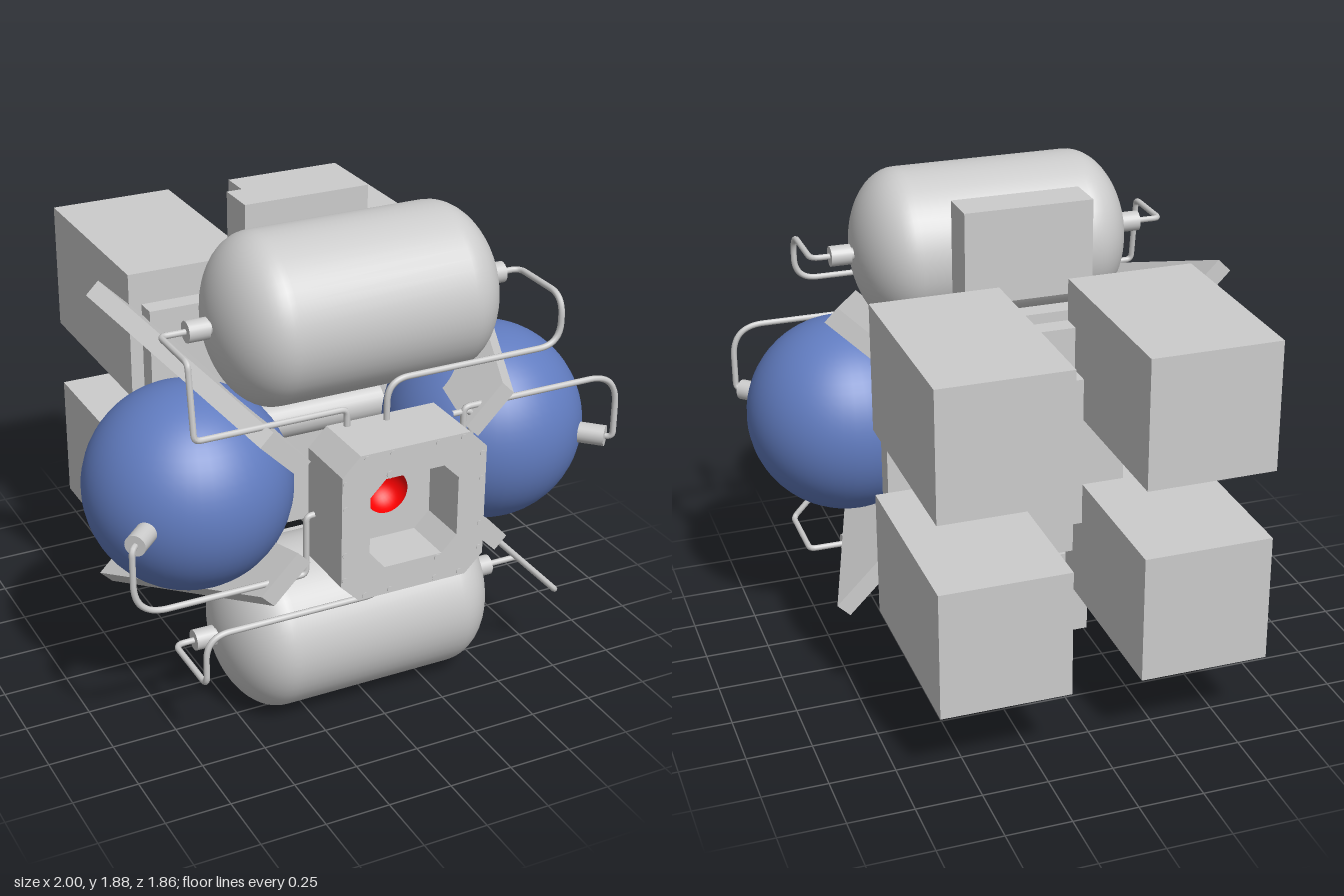
import * as THREE from 'three';

const CY = 0.945; // height of the central axis
const mat = (color, side = THREE.FrontSide) => new THREE.MeshStandardMaterial({ color, side });
const grey = mat(0xcccccc);
const blue = mat(0x617cc0);
const red = mat(0xff0000, THREE.DoubleSide);
const V = (a) => new THREE.Vector3(...a);

export function createModel() {
  const model = new THREE.Group();

  const add = (name, geometry, x = 0, y = 0, z = 0, material = grey) => {
    const mesh = new THREE.Mesh(geometry, material);
    mesh.name = name;
    mesh.position.set(x, y, z);
    model.add(mesh);
    return mesh;
  };
  // box given by its min and max corners
  const box = (name, x0, x1, y0, y1, z0, z1) =>
    add(name, new THREE.BoxGeometry(x1 - x0, y1 - y0, z1 - z0), (x0 + x1) / 2, (y0 + y1) / 2, (z0 + z1) / 2);
  // cylinder between two points
  const rod = (name, a, b, r, sides = 24) => {
    const p = V(a), q = V(b), d = q.clone().sub(p);
    const mesh = add(name, new THREE.CylinderGeometry(r, r, d.length(), sides));
    mesh.position.copy(p).add(q).multiplyScalar(0.5);
    mesh.quaternion.setFromUnitVectors(new THREE.Vector3(0, 1, 0), d.normalize());
    return mesh;
  };
  // pipe through points with rounded bends
  const pipe = (name, points, bend = 0.04) => {
    const p = points.map(V), path = new THREE.CurvePath();
    let last = p[0];
    for (let i = 1; i < p.length - 1; i++) {
      const before = p[i - 1].clone().sub(p[i]), after = p[i + 1].clone().sub(p[i]);
      const r = Math.min(points[i][3] ?? bend, before.length() * 0.48, after.length() * 0.48);
      const a = p[i].clone().add(before.setLength(r)), b = p[i].clone().add(after.setLength(r));
      path.add(new THREE.LineCurve3(last, a));
      path.add(new THREE.QuadraticBezierCurve3(a, p[i], b));
      last = b;
    }
    path.add(new THREE.LineCurve3(last, p[p.length - 1]));
    add(name, new THREE.TubeGeometry(path, 140, 0.012, 8));
  };
  // square outline with cut corners
  const cutSquare = (h, c, Type = THREE.Shape) => new Type([
    [h, c - h], [h, h - c], [h - c, h], [c - h, h], [-h, h - c], [-h, c - h], [c - h, -h], [h - c, -h],
  ].map(([x, y]) => new THREE.Vector2(x, y)));
  const extrude = (shape, depth, curveSegments = 24) =>
    new THREE.ExtrudeGeometry(shape, { depth, bevelEnabled: false, curveSegments });

  // front housing with a recessed port
  const housing = cutSquare(0.285, 0.07);
  housing.holes.push(cutSquare(0.175, 0.06, THREE.Path));
  add('frontHousing', extrude(housing, 0.2), 0, CY, 0.73);
  const backing = cutSquare(0.285, 0.07);
  backing.holes.push(new THREE.Path().absarc(0, 0, 0.083, 0, Math.PI * 2, true));
  add('portBacking', extrude(backing, 0.06, 32), 0, CY, 0.67);
  const bowl = add('redBowl', new THREE.SphereGeometry(0.083, 32, 12, 0, Math.PI * 2, Math.PI / 2, Math.PI / 2), 0, CY, 0.73, red);
  bowl.rotation.x = Math.PI / 2;

  // bolts around the housing face
  for (const s of [-1, 1]) for (const t of [-0.19, -0.09, 0.09, 0.19]) {
    rod('bolt', [t, CY + s * 0.27, 0.92], [t, CY + s * 0.27, 0.933], 0.011, 12);
    rod('bolt', [s * 0.27, CY + t, 0.92], [s * 0.27, CY + t, 0.933], 0.011, 12);
  }
  for (const s of [-1, 1]) rod('largeBolt', [s * 0.1, CY - s * 0.19, 0.92], [s * 0.1, CY - s * 0.19, 0.934], 0.014, 16);

  // upper and lower tanks with domed ends
  const profile = [];
  for (let i = 0; i <= 14; i++) {
    const a = (i / 14) * Math.PI / 2;
    profile.push(new THREE.Vector2(0.315 * Math.sin(a), -0.345 - 0.2 * Math.cos(a)));
  }
  const tankProfile = [...profile, ...profile.map((p) => new THREE.Vector2(p.x, -p.y)).reverse()];
  for (const y of [0.32, 1.57]) {
    add('tank', new THREE.LatheGeometry(tankProfile, 48), 0, y, 0.425).rotation.z = Math.PI / 2;
    for (const s of [-1, 1]) {
      rod('tankNeck', [s * 0.5, y, 0.42], [s * 0.57, y, 0.42], 0.025);
      rod('tankFitting', [s * 0.555, y, 0.42], [s * 0.635, y, 0.42], 0.04);
    }
  }

  for (const s of [-1, 1]) {
    // side spheres and their fittings
    add('sideSphere', new THREE.SphereGeometry(0.385, 48, 32), s * 0.615, CY, 0.355, blue);
    rod('sphereFitting', [s * 0.87, CY, 0.61], [s * 0.955, CY, 0.695], 0.04);
    // rear equipment boxes
    const [x0, x1] = s > 0 ? [0.135, 0.63] : [-0.63, -0.135];
    box('rearBox', x0, x1, 1.08, 1.58, -0.93, -0.13);
    box('rearBox', x0, x1, 0.31, 0.81, -0.93, -0.13);
    // upright frame rods
    rod('frameRod', [s * 0.25, 0.6, 0.04], [s * 0.25, 1.29, 0.04], 0.01, 10);
  }

  // upper and lower blocks
  box('upperBlock', -0.25, 0.25, 1.5, 1.86, -0.08, 0.08);
  box('lowerBlock', -0.25, 0.25, 0.03, 0.39, -0.08, 0.08);

  // back plate, cross-shaped mount and core
  box('backPlate', -0.58, 0.58, CY - 0.51, CY + 0.51, -0.13, -0.05);
  box('mountArm', -0.47, 0.47, CY - 0.13, CY + 0.13, -0.21, -0.12);
  box('mountArm', -0.135, 0.135, CY - 0.47, CY + 0.47, -0.21, -0.12);
  add('mountHub', extrude(cutSquare(0.3, 0.1), 0.1), 0, CY, -0.305);
  rod('coreCylinder', [-0.33, CY, 0.025], [0.33, CY, 0.025], 0.075);
  rod('corePin', [-0.38, CY, 0.04], [0.37, CY, 0.04], 0.018, 12);

  // four diagonal fins, narrowing towards the front (radial distance, z)
  const fin = new THREE.Shape([[0.45, -0.13], [0.863, -0.13], [0.453, 0.745], [0.25, 0.745]]
    .map(([r, z]) => new THREE.Vector2(r, z)));
  for (const sx of [-1, 1]) for (const sy of [-1, 1]) {
    const a = Math.atan2(sy, sx);
    const geometry = extrude(fin, 0.07).translate(0, 0, -0.035);
    geometry.applyMatrix4(new THREE.Matrix4().makeBasis(
      V([Math.cos(a), Math.sin(a), 0]), V([0, 0, 1]), V([Math.sin(a), -Math.cos(a), 0])));
    add('diagonalFin', geometry, sx * 0.16, CY, 0);
  }

  // feed pipes from the tanks to the housing
  pipe('upperRightPipe', [[-0.63, 1.57, 0.42], [-0.73, 1.57, 0.42], [-0.73, 1.57, 0.66], [-0.73, 1.295, 0.7],
    [-0.15, 1.295, 0.7], [-0.15, 1.2, 0.7]], 0.025);
  pipe('upperLeftPipe', [[0.63, 1.57, 0.42], [0.71, 1.57, 0.42], [0.71, 1.57, 0.715, 0.08], [0.71, 1.38, 0.715, 0.1],
    [0, 1.38, 0.715, 0.13], [0, 1.2, 0.715]]);
  pipe('lowerRightPipe', [[-0.63, 0.32, 0.42], [-0.71, 0.32, 0.42], [-0.71, 0.32, 0.715], [-0.71, 0.52, 0.715, 0.1],
    [0, 0.52, 0.715, 0.13], [0, 0.68, 0.715]]);
  pipe('lowerLeftPipe', [[0.63, 0.32, 0.42], [0.77, 0.32, 0.42], [0.77, 0.32, 0.71], [0.35, 0.76, 0.71],
    [0.35, 1.19, 0.71], [0.27, 1.19, 0.71]], 0.025);

  // feed pipes from the spheres, each the other turned by half
  for (const s of [-1, 1]) {
    pipe('spherePipe', [[0.94, 0, 0.68], [0.975, 0, 0.715], [0.975, 0.265, 0.715, 0.22],
      [0.315, 0.265, 0.715], [0.315, 0.03, 0.715], [0.27, 0.03, 0.715]]
      .map(([x, y, z, r]) => [s * x, CY + s * y, z, r]), 0.025);
  }
  return model;
}
